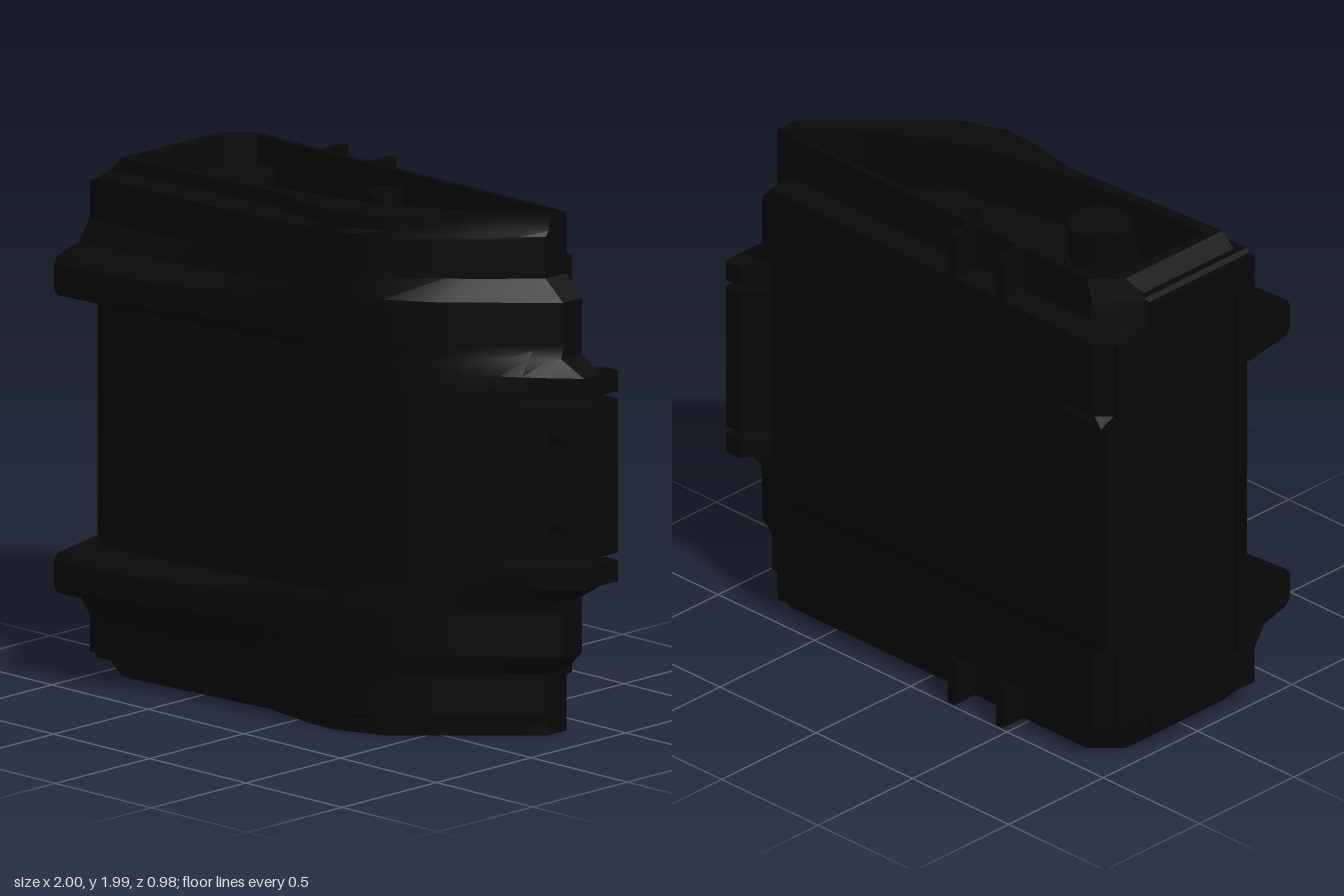
import * as THREE from 'three';
import { toCreasedNormals } from 'three/addons/utils/BufferGeometryUtils.js';

const MID = 0.995; // height of the mirror plane

// Stations across the width, and the front curve [x, z] of each kind of cross-section
const XS = [-1, -0.88, -0.879, -0.7, -0.4, -0.17, 0.05, 0.2, 0.27, 0.39, 0.55, 0.62, 0.69, 0.75, 0.82, 0.87, 1];
const PANEL = [[-1, 0.26], [-0.88, 0.26], [-0.879, 0.365], [-0.7, 0.355], [-0.4, 0.325],
  [-0.12, 0.285], [0.05, 0.265], [0.27, 0.21], [0.4, 0.15], [0.55, 0.06]];
const RIB_END = [[0.05, 0.28], [0.27, 0.22], [0.4, 0.16], [0.55, 0.06], [0.82, -0.19], [0.9, -0.27]];
const FRONT = {
  flap: [...PANEL, [0.87, -0.17], [1, -0.28]],
  slot: [...PANEL, [0.69, -0.04], [0.75, -0.36]],
  panelEdge: [...PANEL, [0.82, -0.17], [0.9, -0.26]],
  rib: [[-1, 0.49], [-0.85, 0.48], [-0.7, 0.46], [-0.4, 0.39], [-0.12, 0.305], ...RIB_END],
  ribEdge: [[-1, 0.47], [-0.85, 0.46], [-0.7, 0.44], [-0.4, 0.375], [-0.12, 0.3], ...RIB_END],
  shoulder: [[-1, 0.355], [-0.7, 0.345], [-0.4, 0.32], [-0.12, 0.285], ...RIB_END],
  band: [[-1, 0.3], [-0.7, 0.3], [-0.4, 0.29], [-0.12, 0.275], [0.05, 0.26], [0.27, 0.21],
    [0.39, 0.15], [0.62, -0.06], [0.82, -0.26]],
  rim: [[-1, 0.24], [-0.7, 0.22], [-0.17, 0.18], [0.05, 0.22], [0.2, 0.225], [0.39, 0.15],
    [0.62, -0.07], [0.82, -0.275]],
  pocket: [[-1, 0.18], [-0.7, 0.17], [-0.4, 0.15], [-0.12, 0.12], [0.05, 0.09], [0.27, 0.02],
    [0.4, -0.04], [0.55, -0.13], [0.76, -0.3]],
};

function frontZ(kind, x) {
  const f = FRONT[kind];
  let i = 0;
  while (i < f.length - 2 && x > f[i + 1][0]) i++;
  const [[x0, z0], [x1, z1]] = [f[i], f[i + 1]];
  return THREE.MathUtils.mapLinear(x, x0, x1, z0, z1);
}

// Half of the sections: height above the mirror plane, kind, right end, left end, back z, corner cut
const HALF = [
  [0.295, 'flap', 1, -0.975, -0.485, 0],
  [0.295, 'slot', 0.75, -0.975, -0.485, 0],
  [0.325, 'slot', 0.75, -0.975, -0.485, 0],
  [0.325, 'flap', 1, -0.975, -0.485, 0],
  [0.405, 'flap', 1, -0.975, -0.485, 0],
  [0.465, 'panelEdge', 0.9, -0.975, -0.485, 0],
  [0.495, 'ribEdge', 0.9, -0.975, -0.47, 0.05],
  [0.52, 'rib', 0.9, -0.975, -0.47, 0.05],
  [0.62, 'rib', 0.9, -0.975, -0.47, 0.05],
  [0.648, 'ribEdge', 0.9, -0.975, -0.47, 0.05],
  [0.68, 'shoulder', 0.9, -0.975, -0.47, 0.05],
  [0.76, 'band', 0.82, -0.975, -0.47, 0.05],
  [0.8, 'band', 0.82, -0.975, -0.47, 0.05],
  [0.83, 'band', 0.82, -0.975, -0.39, 0.15],
  [0.905, 'band', 0.82, -0.975, -0.38, 0.15],
  [0.92, 'band', 0.82, -0.96, -0.38, 0.14],
  [0.94, 'rim', 0.82, -0.955, -0.38, 0.14],
  [0.995, 'rim', 0.82, -0.9, -0.38, 0.1],
  [0.995, 'pocket', 0.76, -0.86, -0.35, 0.09],
  [0.78, 'pocket', 0.76, -0.86, -0.35, 0.09],
];

// Closed plan outline of one section, counter-clockwise seen from above
function outline([h, kind, xe, x0, zb, cut], sign) {
  const y = MID + h * sign;
  const pts = XS.map((x) => {
    const cx = Math.min(Math.max(x, x0), xe);
    return [cx, y, frontZ(kind, cx)];
  });
  const inner = Math.max(-0.37, zb), step = Math.max(-0.47, zb);
  const back = [[xe, inner], [0.75, inner], [0.75, step], [0.65, step],
    [0.6, zb], [x0 + cut, zb], [x0, zb + cut]];
  back.forEach(([x, z]) => pts.push([Math.min(x, xe), y, z]));
  return pts;
}

function bodyGeometry() {
  const loops = [
    ...HALF.slice().reverse().map((s) => outline(s, -1)),
    ...HALF.map((s) => outline(s, 1)),
  ];
  const n = loops[0].length, pos = [], idx = [];
  loops.forEach((l) => l.forEach((p) => pos.push(...p)));
  for (let i = 0; i < loops.length - 1; i++) {
    for (let j = 0; j < n; j++) {
      const k = (j + 1) % n;
      const a = i * n + j, b = i * n + k, c = a + n, d = b + n;
      idx.push(a, b, d, a, d, c);
    }
  }
  // Pocket floors
  const lo = pos.length / 3, top = (loops.length - 1) * n;
  pos.push(-0.1, loops[0][0][1], -0.15, -0.1, loops[loops.length - 1][0][1], -0.15);
  for (let j = 0; j < n; j++) {
    const k = (j + 1) % n;
    idx.push(k, j, lo, top + j, top + k, lo + 1);
  }
  const g = new THREE.BufferGeometry();
  g.setAttribute('position', new THREE.Float32BufferAttribute(pos, 3));
  g.setIndex(idx);
  return toCreasedNormals(g, 0.45);
}

// Raised frame on the wide end, following the section profile
function endFrameGeometry() {
  const rows = HALF.filter((s) => s[0] > 0.4 && s[0] < 0.91 && s[1] !== 'pocket')
    .map(([h, kind, , , zb, cut]) => [h, FRONT[kind][0][1], zb + cut]);
  const all = [...rows.slice().reverse().map(([h, f, b]) => [-h, f, b]), ...rows];
  const shape = new THREE.Shape([
    ...all.map(([h, f]) => new THREE.Vector2(f, MID + h)),
    ...all.slice().reverse().map(([h, , b]) => new THREE.Vector2(b, MID + h)),
  ]);
  const hole = [[-0.28, -0.77], [0.15, -0.82], [0.22, -0.75], [0.22, 0.75],
    [0.15, 0.82], [-0.28, 0.77], [-0.37, 0.68], [-0.37, -0.68]];
  shape.holes.push(new THREE.Path(hole.map(([z, h]) => new THREE.Vector2(z, MID + h))));
  const g = new THREE.ExtrudeGeometry(shape, { depth: 0.025, bevelEnabled: false });
  return g.rotateY(-Math.PI / 2).translate(-0.975, 0, 0);
}

// Hooked lip behind the narrow end
function lipGeometry(height) {
  const plan = [[0.84, -0.36], [0.93, -0.46], [1, -0.46], [1, -0.36]];
  const shape = new THREE.Shape(plan.map(([x, z]) => new THREE.Vector2(x, -z)));
  const g = new THREE.ExtrudeGeometry(shape, { depth: height, bevelEnabled: false });
  return g.rotateX(-Math.PI / 2).translate(0, -height / 2, 0);
}

export function createModel() {
  const group = new THREE.Group();
  const black = new THREE.MeshStandardMaterial({ color: 0x080808 });
  black.name = 'matte black';
  const add = (name, geometry, x = 0, y = 0, z = 0) => {
    const m = new THREE.Mesh(geometry, black);
    m.name = name;
    m.position.set(x, y, z);
    group.add(m);
  };

  add('body', bodyGeometry());
  add('endFrame', endFrameGeometry());
  add('flapLip', lipGeometry(0.59), 0, MID, 0);

  // Fittings repeated on the top and bottom
  for (const s of [1, -1]) {
    const at = (h) => MID + s * h;
    for (const x of [-0.45, -0.2]) {
      add('backTab', new THREE.BoxGeometry(0.035, 0.195, 0.12), x, at(0.8975), -0.43);
    }
    add('hookLip', lipGeometry(0.08), 0, at(0.365), 0);
    add('flapRib', new THREE.BoxGeometry(0.11, 0.03, 0.1), 0.945, at(0.17), -0.245);
    add('largePost', new THREE.CylinderGeometry(0.125, 0.125, 0.2, 32), -0.5, at(0.87), 0);
    add('largePostCollar', new THREE.CylinderGeometry(0.14, 0.14, 0.06, 32), -0.5, at(0.8), 0);
    add('mediumPost', new THREE.CylinderGeometry(0.07, 0.07, 0.18, 24), 0, at(0.86), -0.24);
    add('smallPost', new THREE.CylinderGeometry(0.035, 0.035, 0.06, 16), 0.41, at(0.8), -0.24);
    add('boxPost', new THREE.BoxGeometry(0.12, 0.06, 0.15), 0.2, at(0.8), -0.08);
  }
  return group;
}
